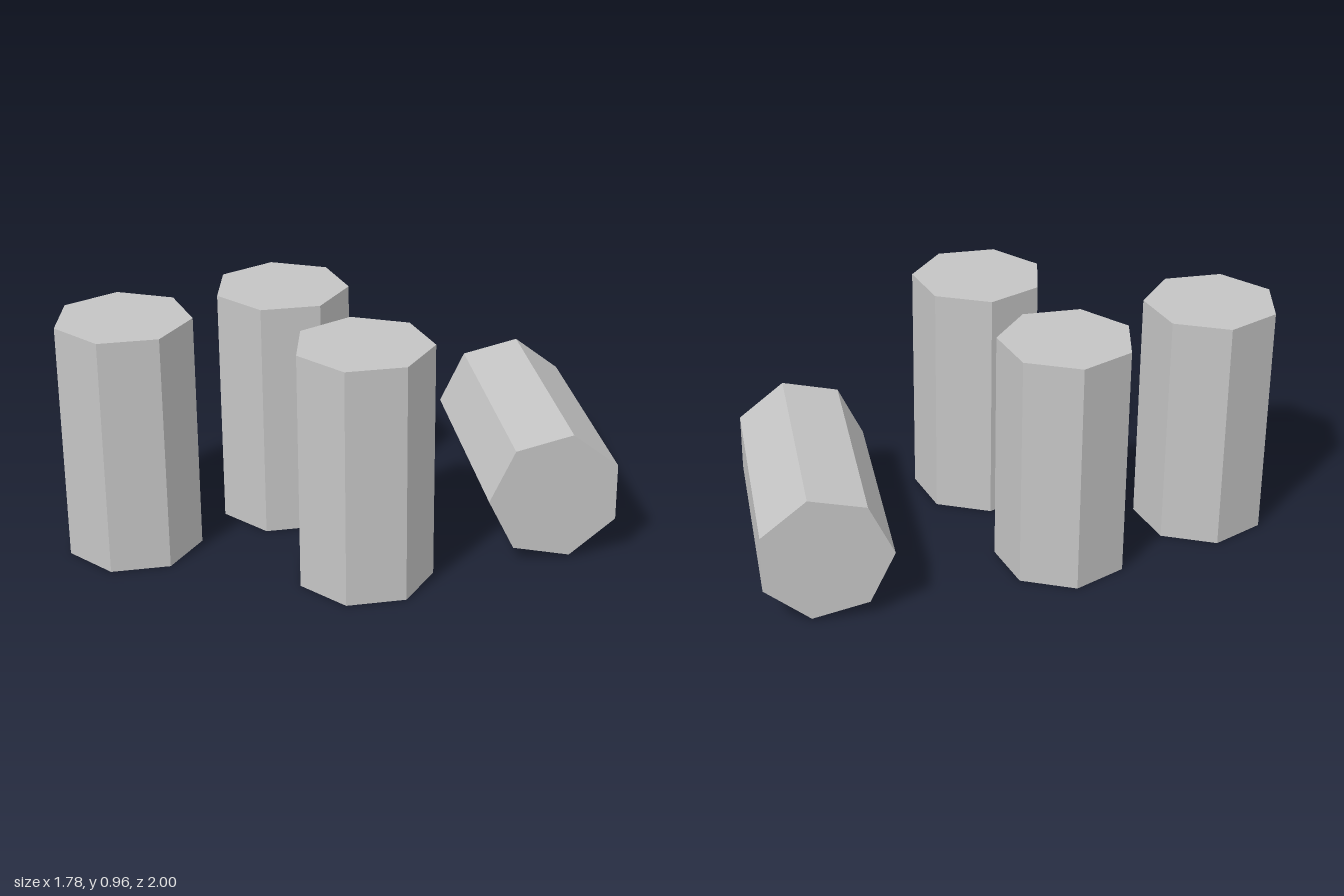
import * as THREE from 'three';

const RADIUS = 0.267, HEIGHT = 0.96, SIDES = 7;

export function createModel() {
  const group = new THREE.Group();
  const grey = new THREE.MeshStandardMaterial({ color: 0xc4c4c4, flatShading: true });
  grey.name = 'light grey';

  const prism = new THREE.CylinderGeometry(RADIUS, RADIUS, HEIGHT, SIDES);

  const addPillar = (name, x, y, z) => {
    const mesh = new THREE.Mesh(prism, grey);
    mesh.name = name;
    mesh.position.set(x, y, z);
    group.add(mesh);
    return mesh;
  };

  // Three standing pillars, one corner pointing to the back
  const standing = [
    ['backPillar', -0.395, 0.127],
    ['leftPillar', 0.235, 0.362],
    ['frontPillar', -0.63, 0.757],
  ];
  for (const [name, x, z] of standing) {
    addPillar(name, x, HEIGHT / 2, z).rotation.y = Math.PI;
  }

  // Fallen pillar, laid on its side and turned
  addPillar('fallenPillar', 0.367, 0.27, -0.51).rotation.set(0, -0.7, -Math.PI / 2, 'YXZ');

  return group;
}
